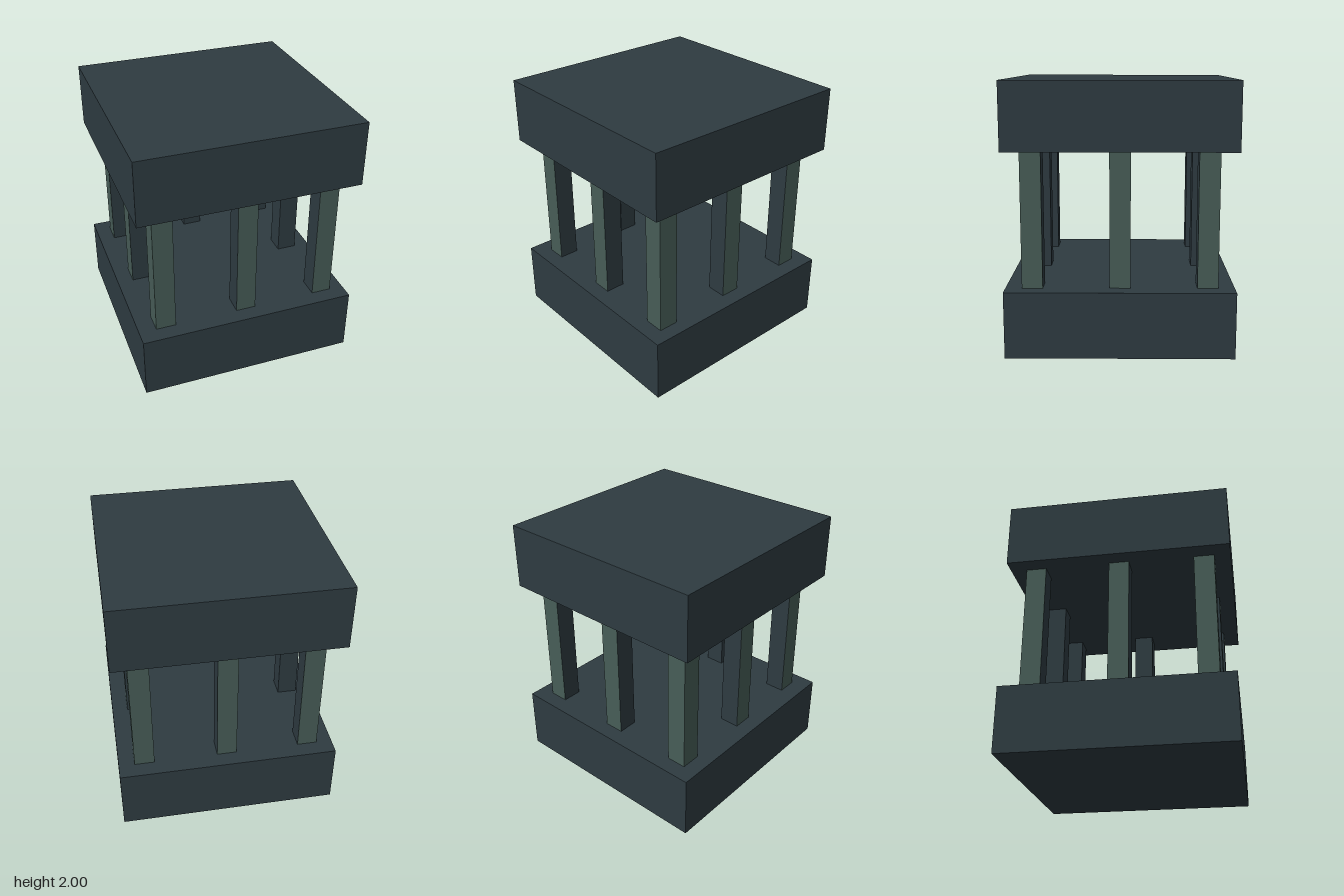
import * as THREE from 'three';

export function createModel() {
  const model = new THREE.Group();
  model.name = 'pillaredBlock';

  const slate = new THREE.MeshStandardMaterial({ color: 0x2e3b41 });
  slate.name = 'dark slate';
  const green = new THREE.MeshStandardMaterial({ color: 0x475d57 });
  green.name = 'grey green';

  const size = 1.676, slabHeight = 0.495, pillarHeight = 1.01;
  const pillarWidth = 0.153, spacing = 0.64;

  // Two equal slabs
  const slabGeometry = new THREE.BoxGeometry(size, slabHeight, size);
  for (const [name, y] of [['baseSlab', slabHeight / 2], ['topSlab', 2 - slabHeight / 2]]) {
    const slab = new THREE.Mesh(slabGeometry, slate);
    slab.name = name;
    slab.position.y = y;
    model.add(slab);
  }

  // Ring of eight pillars: outward faces are green, inward faces slate
  const pillars = new THREE.Group();
  pillars.name = 'pillars';
  const pillarGeometry = new THREE.BoxGeometry(pillarWidth, pillarHeight, pillarWidth);
  const columnNames = ['Right', 'Middle', 'Left'];
  const rowNames = ['back', 'middle', 'front'];
  for (let i = -1; i <= 1; i++) {
    for (let k = -1; k <= 1; k++) {
      if (i === 0 && k === 0) continue;
      const paint = (outward) => (outward ? green : slate);
      const faces = [paint(i > 0), paint(i < 0), slate, slate, paint(k > 0), paint(k < 0)];
      const pillar = new THREE.Mesh(pillarGeometry, faces);
      pillar.name = rowNames[k + 1] + columnNames[i + 1] + 'Pillar';
      // The front row sits slightly to the side
      const shift = k === 1 ? 0.011 : 0;
      pillar.position.set(i * spacing + shift, 1, k * spacing);
      pillars.add(pillar);
    }
  }
  model.add(pillars);

  return model;
}
